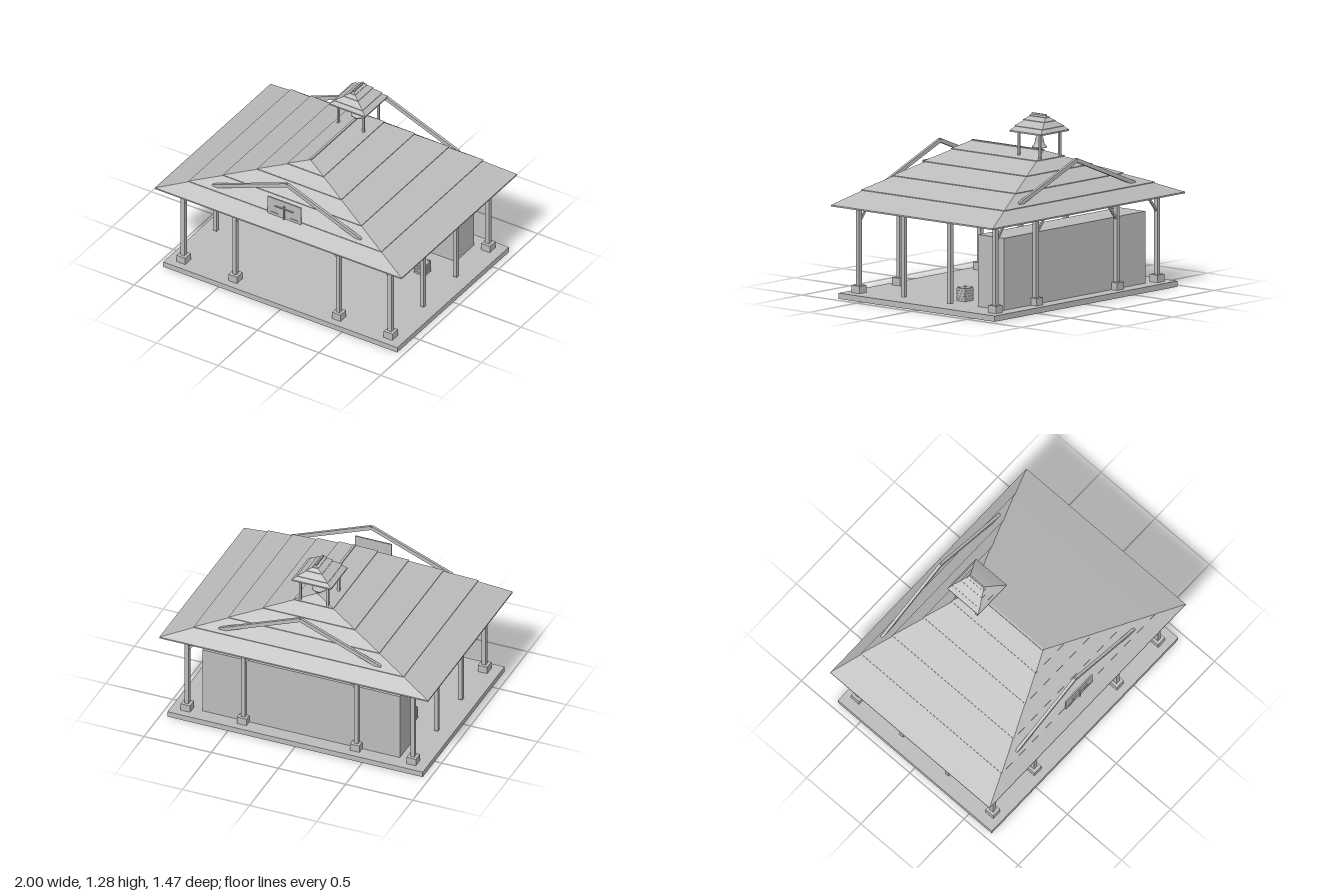
import * as THREE from 'three';

const stone = new THREE.MeshStandardMaterial({ color: 0xbcbcbc });
stone.name = 'plainGrey';

export function createModel() {
  const model = new THREE.Group();
  model.name = 'pavilion';

  const add = (name, geo, x = 0, y = 0, z = 0, parent = model) => {
    const m = new THREE.Mesh(geo, stone);
    m.name = name;
    m.position.set(x, y, z);
    parent.add(m);
    return m;
  };
  // Box given by its limits
  const box = (name, x0, x1, y0, y1, z0, z1, parent) =>
    add(name, new THREE.BoxGeometry(x1 - x0, y1 - y0, z1 - z0),
      (x0 + x1) / 2, (y0 + y1) / 2, (z0 + z1) / 2, parent);
  // Bar running between two points in a plane of constant z
  const bar = (name, x0, y0, x1, y1, z, w, d) => {
    const m = add(name, new THREE.BoxGeometry(Math.hypot(x1 - x0, y1 - y0), w, d), (x0 + x1) / 2, (y0 + y1) / 2, z);
    m.rotation.z = Math.atan2(y1 - y0, x1 - x0);
  };
  const extrude = (shape, depth) =>
    new THREE.ExtrudeGeometry(shape, { depth, bevelEnabled: false, curveSegments: 10 });

  // Hipped roof: rectangular rings with a small lip at the foot of every course
  const hipRoof = (hx, hz, ridge, y0, y1, edge, courses, lip) => {
    const ring = (t, e, dy = 0) => [hx * (1 - t) + e, hz + (ridge - hz) * t + e, y0 + (y1 - y0) * t + dy];
    const rings = [[0, 0, y0 - edge], [hx, hz, y0 - edge], ring(0, 0)];
    for (const t of courses) rings.push(ring(t, 0), ring(t, lip), ring(t, lip, lip * 0.7));
    rings.push(ring(1, 0));
    const corner = ([x, z, y], i) => [[x, y, z], [x, y, -z], [-x, y, -z], [-x, y, z]][i % 4];
    const pos = [];
    for (let r = 0; r < rings.length - 1; r++) {
      for (let i = 0; i < 4; i++) {
        const a = corner(rings[r], i), b = corner(rings[r], i + 1);
        const c = corner(rings[r + 1], i + 1), d = corner(rings[r + 1], i);
        pos.push(...a, ...b, ...c, ...a, ...c, ...d);
      }
    }
    const g = new THREE.BufferGeometry();
    g.setAttribute('position', new THREE.Float32BufferAttribute(pos, 3));
    g.computeVertexNormals();
    return g;
  };

  // Floor and back room
  box('floorSlab', -0.95, 0.95, 0, 0.04, -0.71, 0.71);
  box('backRoom', -0.735, 0.735, 0.04, 0.54, -0.605, -0.37);

  // Main roof with ridge cap
  add('mainRoof', hipRoof(1, 0.735, 0.325, 0.655, 1.025, 0.01, [0.225, 0.445, 0.665, 0.86], 0.007));
  box('ridgeCap', -0.008, 0.008, 1.015, 1.03, -0.325, 0.325);

  // Perimeter beams
  for (const s of [-1, 1]) {
    box('eaveBeam', -0.87, 0.87, 0.62, 0.646, s * 0.62 - 0.018, s * 0.62 + 0.018);
    box('sideBeam', s * 0.84 - 0.015, s * 0.84 + 0.015, 0.62, 0.645, -0.62, 0.62);
  }

  // Posts, pedestals, braces and gable frames
  for (const sx of [-1, 1]) {
    for (const z of [-0.62, 0.62]) {
      for (const px of [0.42, 0.84]) {
        const x = sx * px;
        box('post', x - 0.015, x + 0.015, 0.09, 0.62, z - 0.015, z + 0.015);
        box('pedestal', x - 0.035, x + 0.035, 0.04, 0.092, z - 0.036, z + 0.036);
        bar('brace', x - sx * 0.01, 0.535, x - sx * 0.08, 0.622, z, 0.014, 0.014);
      }
      bar('gableRafter', 0, 0.99, sx * 0.6, 0.755, z, 0.028, 0.02);
    }
    for (const z of [-0.21, 0.21])
      box('sidePost', sx * 0.84 - 0.015, sx * 0.84 + 0.015, 0.055, 0.62, z - 0.015, z + 0.015);
  }

  // Front board with raised cross and small bars
  box('signBoard', -0.135, 0.135, 0.728, 0.866, 0.648, 0.658);
  box('crossUpright', -0.004, 0.004, 0.722, 0.832, 0.658, 0.666);
  box('crossArm', -0.075, 0.075, 0.806, 0.813, 0.658, 0.666);
  for (const s of [-1, 1]) box('signBar', s * 0.08 - 0.03, s * 0.08 + 0.03, 0.747, 0.752, 0.658, 0.663);

  // Arched door: leaf, surround and straps
  const arch = (r, top, bottom) => {
    const s = new THREE.Shape();
    s.moveTo(-r, bottom);
    s.lineTo(r, bottom);
    s.lineTo(r, top);
    s.absarc(0, top, r, 0, Math.PI, false);
    return s;
  };
  const surround = arch(0.113, 0.242, 0.04);
  const hole = new THREE.Path();
  hole.setFromPoints(arch(0.088, 0.242, 0.0401).getPoints(10));
  surround.holes.push(hole);
  add('doorSurround', extrude(surround, 0.027), 0, 0, -0.371);
  add('doorLeaf', extrude(arch(0.088, 0.242, 0.04), 0.012), 0, 0, -0.371);
  for (const y of [0.105, 0.175, 0.248]) box('doorStrap', -0.086, 0.086, y - 0.005, y + 0.005, -0.36, -0.352);
  for (let i = 1; i < 8; i++) {
    const a = i * Math.PI / 8, c = Math.cos(a), n = Math.sin(a);
    bar('archJoint', c * 0.09, 0.242 + n * 0.09, c * 0.112, 0.242 + n * 0.112, -0.344, 0.002, 0.004);
  }

  // Pointed windows with frames and sills
  const pointed = (w, y0, y1, top, Type = THREE.Shape) => {
    const s = new Type();
    s.moveTo(-w, y0);
    s.lineTo(w, y0);
    s.lineTo(w, y1);
    s.quadraticCurveTo(w * 0.95, y1 + (top - y1) * 0.65, 0, top);
    s.quadraticCurveTo(-w * 0.95, y1 + (top - y1) * 0.65, -w, y1);
    s.closePath();
    return s;
  };
  for (const x of [-0.525, -0.285, 0.285, 0.525]) {
    const frame = pointed(0.046, 0.16, 0.265, 0.338);
    frame.holes.push(pointed(0.038, 0.168, 0.262, 0.325, THREE.Path));
    add('windowFrame', extrude(frame, 0.012), x, 0, -0.371);
    add('windowPane', extrude(pointed(0.038, 0.168, 0.262, 0.325), 0.006), x, 0, -0.371);
    box('windowSill', x - 0.052, x + 0.052, 0.152, 0.164, -0.372, -0.352);
  }

  // Slatted crates
  for (const x of [-0.61, 0.61]) {
    const crate = new THREE.Group();
    crate.name = 'crate';
    model.add(crate);
    box('crateCore', x - 0.04, x + 0.04, 0.04, 0.128, -0.177, -0.108, crate);
    for (let i = 0; i < 5; i++) {
      const y = 0.042 + i * 0.0185;
      box('crateSlat', x - 0.045, x + 0.045, y, y + 0.014, -0.182, -0.104, crate);
    }
    for (const sx of [-1, 1]) for (const z of [-0.17, -0.115])
      box('cratePeg', x + sx * 0.035 - 0.006, x + sx * 0.035 + 0.006, 0.12, 0.137, z - 0.006, z + 0.006, crate);
  }

  // Bell tower
  const tower = new THREE.Group();
  tower.name = 'bellTower';
  tower.position.z = -0.285;
  model.add(tower);
  for (const sx of [-1, 1]) for (const sz of [-1, 1])
    box('towerPost', sx * 0.102 - 0.008, sx * 0.102 + 0.008, 0.975, 1.158, sz * 0.095 - 0.008, sz * 0.095 + 0.008, tower);
  add('towerRoof', hipRoof(0.146, 0.143, 0.062, 1.163, 1.268, 0.01, [0.25, 0.63, 0.88], 0.005), 0, 0, 0, tower);
  box('towerRidge', -0.005, 0.005, 1.262, 1.277, -0.065, 0.065, tower);

  // Bell with hanger
  const profile = [[0, 1.045], [0.04, 1.042], [0.051, 1.042], [0.051, 1.05], [0.037, 1.062], [0.031, 1.085],
    [0.028, 1.108], [0.02, 1.122], [0.012, 1.128], [0, 1.128]].map(p => new THREE.Vector2(...p));
  add('bell', new THREE.LatheGeometry(profile, 20), 0, 0, 0, tower);
  box('bellHanger', -0.01, 0.01, 1.147, 1.158, -0.01, 0.01, tower);

  return model;
}
